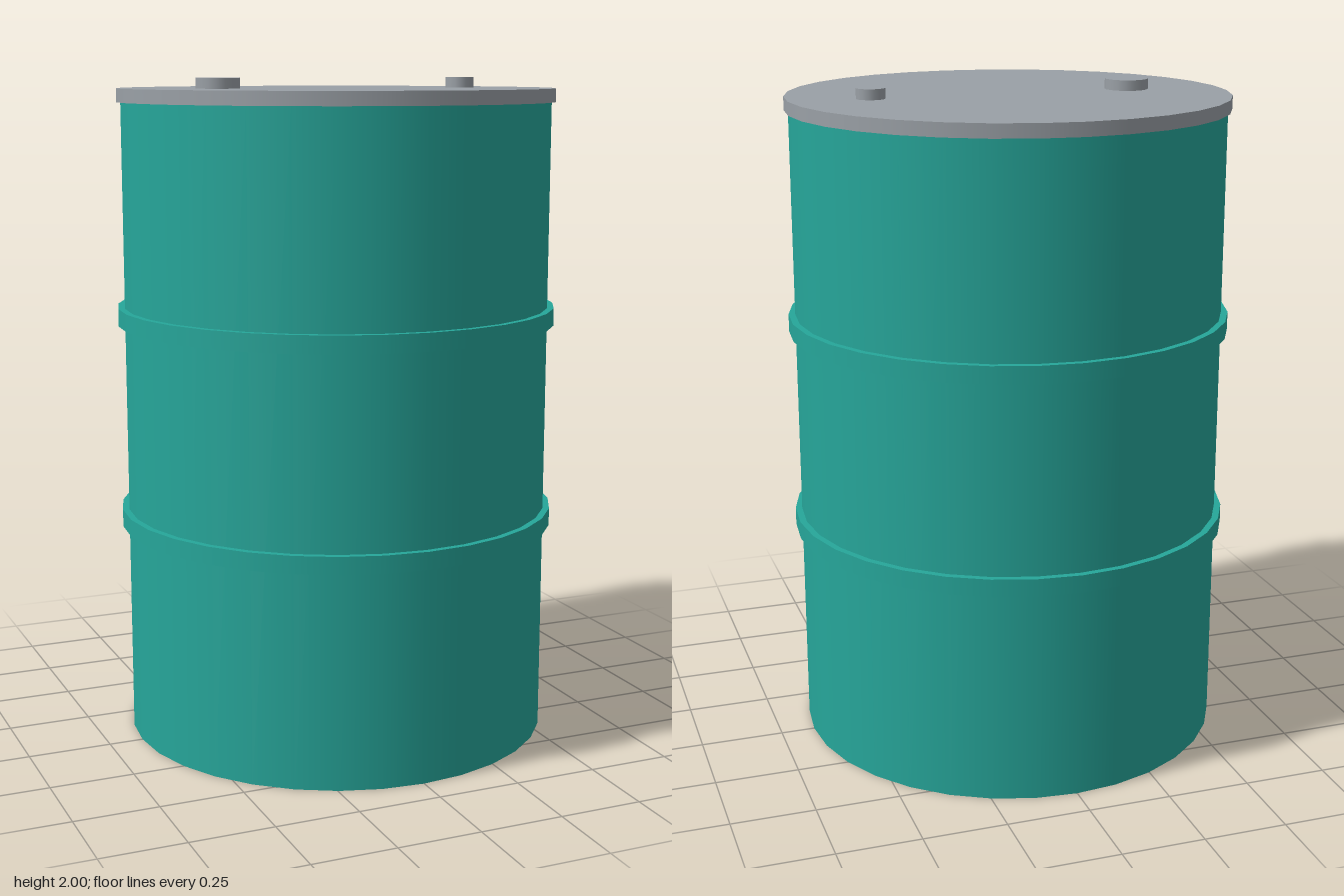
import * as THREE from 'three';

export function createModel() {
  const group = new THREE.Group();
  const teal = new THREE.MeshStandardMaterial({ color: 0x26a69a });
  teal.name = 'tealPaint';
  const grey = new THREE.MeshStandardMaterial({ color: 0x9aa0a6 });
  grey.name = 'greyMetal';

  // Upright cylinder spanning y0 to y1
  function disc(name, material, radius, y0, y1, x = 0, sides = 32) {
    const mesh = new THREE.Mesh(new THREE.CylinderGeometry(radius, radius, y1 - y0, sides), material);
    mesh.name = name;
    mesh.position.set(x, (y0 + y1) / 2, 0);
    group.add(mesh);
  }

  // Drum shell and its two rolling hoops
  disc('body', teal, 0.647, 0, 1.935);
  disc('lowerHoop', teal, 0.667, 0.645, 0.698);
  disc('upperHoop', teal, 0.667, 1.265, 1.318);

  // Lid with a large and a small bung
  disc('lid', grey, 0.659, 1.929, 1.969);
  disc('largeBung', grey, 0.065, 1.965, 2, -0.375, 16);
  disc('smallBung', grey, 0.043, 1.965, 2, 0.417, 16);

  return group;
}
